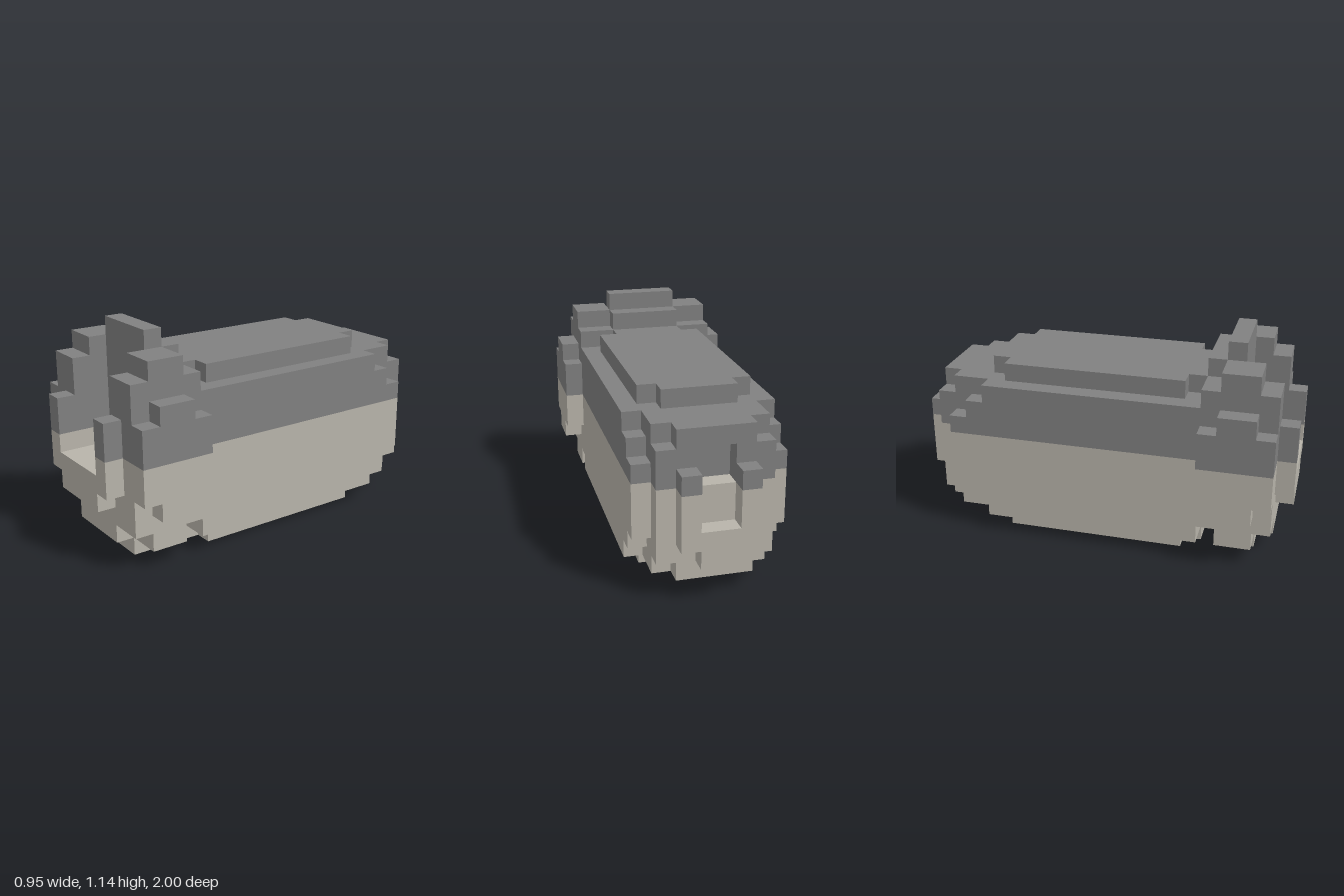
import * as THREE from 'three';

const U = 2 / 21;      // one block
const SPLIT = 6;       // height (in blocks) where the colour changes

export function createModel() {
  const upper = new THREE.MeshStandardMaterial({ color: 0x808080 });
  upper.name = 'darkGrey';
  const lower = new THREE.MeshStandardMaterial({ color: 0xb8b4aa });
  lower.name = 'warmBeige';

  const model = new THREE.Group();
  model.name = 'blockCapsule';

  const part = (name) => {
    const g = new THREE.Group();
    g.name = name;
    model.add(g);
    return g;
  };

  // Box in block units; k counts from the front end towards the back
  const box = (g, name, x0, x1, y0, y1, k0, k1, mat) => {
    const geo = new THREE.BoxGeometry((x1 - x0) * U, (y1 - y0) * U, (k1 - k0) * U);
    const mesh = new THREE.Mesh(geo, mat);
    mesh.position.set((x0 + x1) / 2 * U, (y0 + y1) / 2 * U, (10.5 - (k0 + k1) / 2) * U);
    mesh.name = name;
    g.add(mesh);
  };

  // Splits a block at the colour line
  const block = (g, name, x0, x1, y0, y1, k0, k1) => {
    if (y0 < SPLIT) box(g, name + 'Lower', x0, x1, y0, Math.min(y1, SPLIT), k0, k1, lower);
    if (y1 > SPLIT) box(g, name + 'Upper', x0, x1, Math.max(y0, SPLIT), y1, k0, k1, upper);
  };
  const mid = (g, name, w, ...r) => block(g, name, -w, w, ...r);
  const pair = (g, name, x0, x1, ...r) => {
    block(g, name + 'Left', x0, x1, ...r);
    block(g, name + 'Right', -x1, -x0, ...r);
  };

  // Long body with raised panels on top and underneath
  const body = part('body');
  mid(body, 'hull', 4, 1, 9, 5, 17);
  for (const [name, y] of [['topPanel', 9], ['bottomPanel', 0]]) {
    mid(body, name, 3, y, y + 1, 6, 16);
    mid(body, name + 'FrontEnd', 2, y, y + 1, 5, 6);
    mid(body, name + 'BackEnd', 2, y, y + 1, 16, 17);
  }

  // Stepped back end
  const back = part('backEnd');
  mid(back, 'backCore', 3, 1, 9, 17, 19);
  pair(back, 'backSideInner', 3, 4, 2, 8, 17, 18);
  pair(back, 'backSideOuter', 3, 4, 3, 7, 18, 19);
  pair(back, 'backCorner', 2, 3, 2, 8, 19, 20);

  // Recess in the back plate
  mid(back, 'backPlateBase', 2, 1, 6, 19, 20);
  mid(back, 'backPlateLintel', 2, 8, 9, 19, 20);
  pair(back, 'backPlateJamb', 1, 2, 6, 8, 19, 20);

  // U-shaped cap on the back
  const cap = part('backCap');
  mid(cap, 'capBase', 1, 2, 4, 20, 21);
  pair(cap, 'capProng', 1, 2, 3, 7, 20, 21);

  // Rounded front collar, one slice at a time
  const collar = part('frontCollar');
  mid(collar, 'mouthFloorFront', 2, 1, 5, 1, 2);
  mid(collar, 'mouthFloorBack', 2, 0, 5, 2, 3);
  mid(collar, 'mouthBackWall', 2, 0, 12, 3, 4);
  mid(collar, 'collarBackStep', 2, 1, 11, 4, 5);
  pair(collar, 'cheekFront', 2, 4, 2, 10, 1, 2);
  pair(collar, 'cheekMiddle', 2, 4, 1, 11, 2, 4);
  pair(collar, 'cheekBack', 2, 4, 2, 10, 4, 5);
  pair(collar, 'sidePadFront', 4, 5, 4, 8, 1, 2);
  pair(collar, 'sidePadMiddle', 4, 5, 3, 9, 2, 4);
  pair(collar, 'sidePadBack', 4, 5, 4, 8, 4, 5);

  // Front lip with two prongs
  const lip = part('frontLip');
  mid(lip, 'lipBase', 2, 3, 5, 0, 1);
  pair(lip, 'lipProng', 2, 3, 4, 8, 0, 1);

  return model;
}
